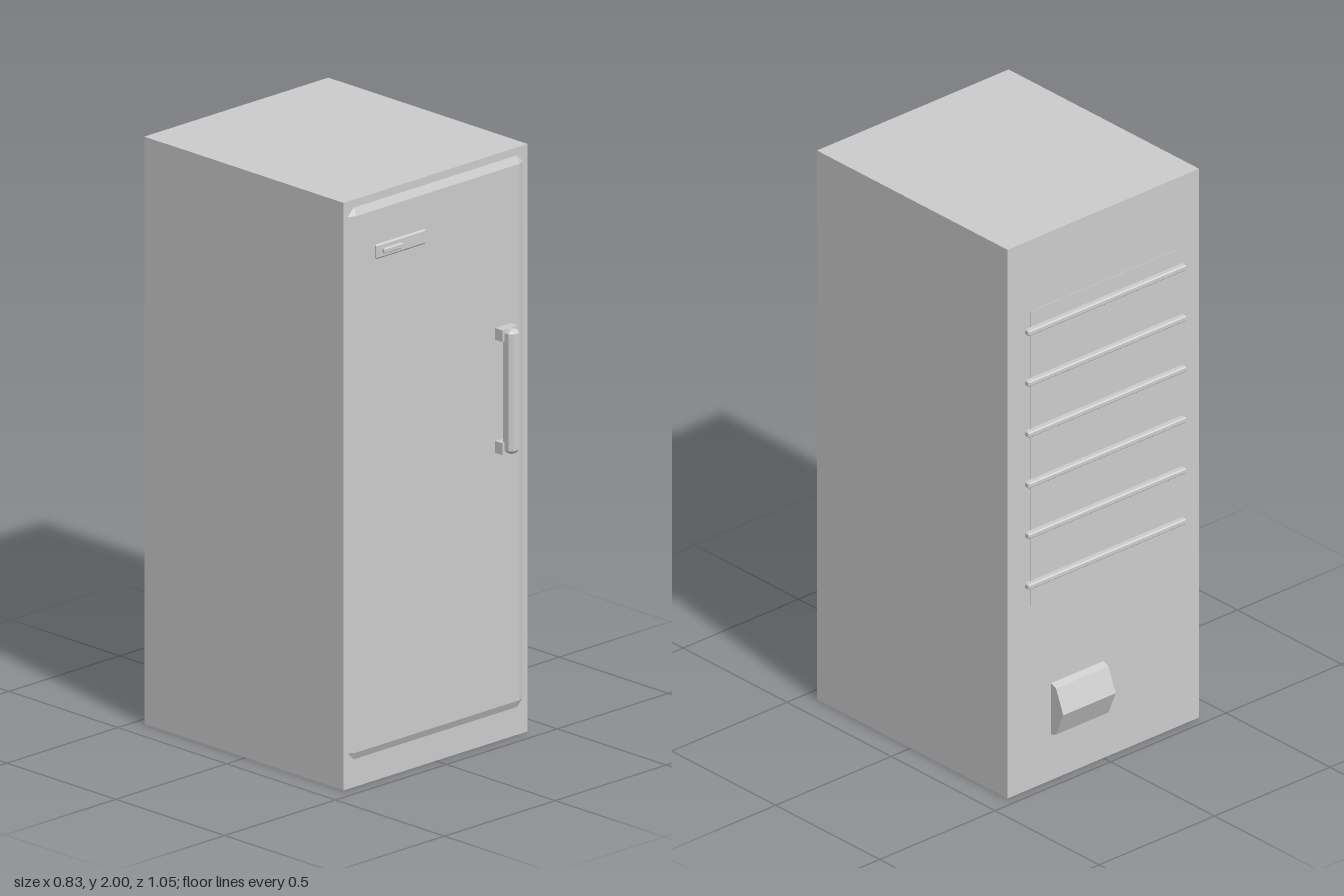
import * as THREE from 'three';
import { ConvexGeometry } from 'three/addons/geometries/ConvexGeometry.js';

// Box given by half sizes, with a single flat bevel on every edge and cut corners
function bevelBox([w, h, d], [bx, by, bz]) {
  const points = [];
  for (const x of [-1, 1]) for (const y of [-1, 1]) for (const z of [-1, 1]) {
    points.push(
      new THREE.Vector3(x * w, y * (h - by), z * (d - bz)),
      new THREE.Vector3(x * (w - bx), y * h, z * (d - bz)),
      new THREE.Vector3(x * (w - bx), y * (h - by), z * d)
    );
  }
  return new ConvexGeometry(points);
}

export function createModel() {
  const model = new THREE.Group();
  model.name = 'refrigerator';
  const grey = new THREE.MeshStandardMaterial({ color: 0xcccccc });
  grey.name = 'light grey';

  const add = (name, geometry, x, y, z, parent = model) => {
    const mesh = new THREE.Mesh(geometry, grey);
    mesh.name = name;
    mesh.position.set(x, y, z);
    parent.add(mesh);
    return mesh;
  };

  // Cabinet and shallow bevelled door
  add('cabinet', new THREE.BoxGeometry(0.83, 2, 0.916), 0, 1, -0.007);
  add('door', bevelBox([0.395, 0.939, 0.012], [0.027, 0.026, 0.012]), -0.002, 1.034, 0.451);

  // Name plate: bevelled surround with a small raised strip
  add('plateSurround', bevelBox([0.1125, 0.025, 0.008], [0.005, 0.005, 0.004]), -0.1725, 1.805, 0.462);
  add('plateStrip', bevelBox([0.042, 0.009, 0.007], [0.003, 0.003, 0.003]), -0.216, 1.804, 0.472);

  // Handle: bevelled grip on two brackets
  const handle = new THREE.Group();
  handle.name = 'handle';
  model.add(handle);
  add('grip', bevelBox([0.024, 0.211, 0.025], [0.012, 0.012, 0.012]), 0.291, 1.203, 0.5, handle);
  for (const y of [1.01, 1.395]) {
    add('bracket', new THREE.BoxGeometry(0.07, 0.04, 0.04), 0.291, y, 0.476, handle);
  }

  // Rear panel and horizontal condenser bars
  add('rearPanel', new THREE.BoxGeometry(0.634, 1.07, 0.006), 0, 1.205, -0.4645);
  const bar = bevelBox([0.342, 0.01, 0.012], [0.004, 0.004, 0.004]);
  for (let i = 0; i < 6; i++) add('condenserBar', bar, 0, 0.75 + i * 0.185, -0.476);

  // Compressor cover: pointed side profile extruded across x
  const profile = new THREE.Shape([
    [0.46, 0.165], [0.49, 0.176], [0.525, 0.26], [0.49, 0.344], [0.46, 0.355]
  ].map(([z, y]) => new THREE.Vector2(z, y)));
  const cover = new THREE.ExtrudeGeometry(profile, { depth: 0.227, bevelEnabled: false });
  cover.rotateY(Math.PI / 2); // profile x becomes -z, depth becomes +x
  add('compressorCover', cover, 0, 0, 0);

  return model;
}
